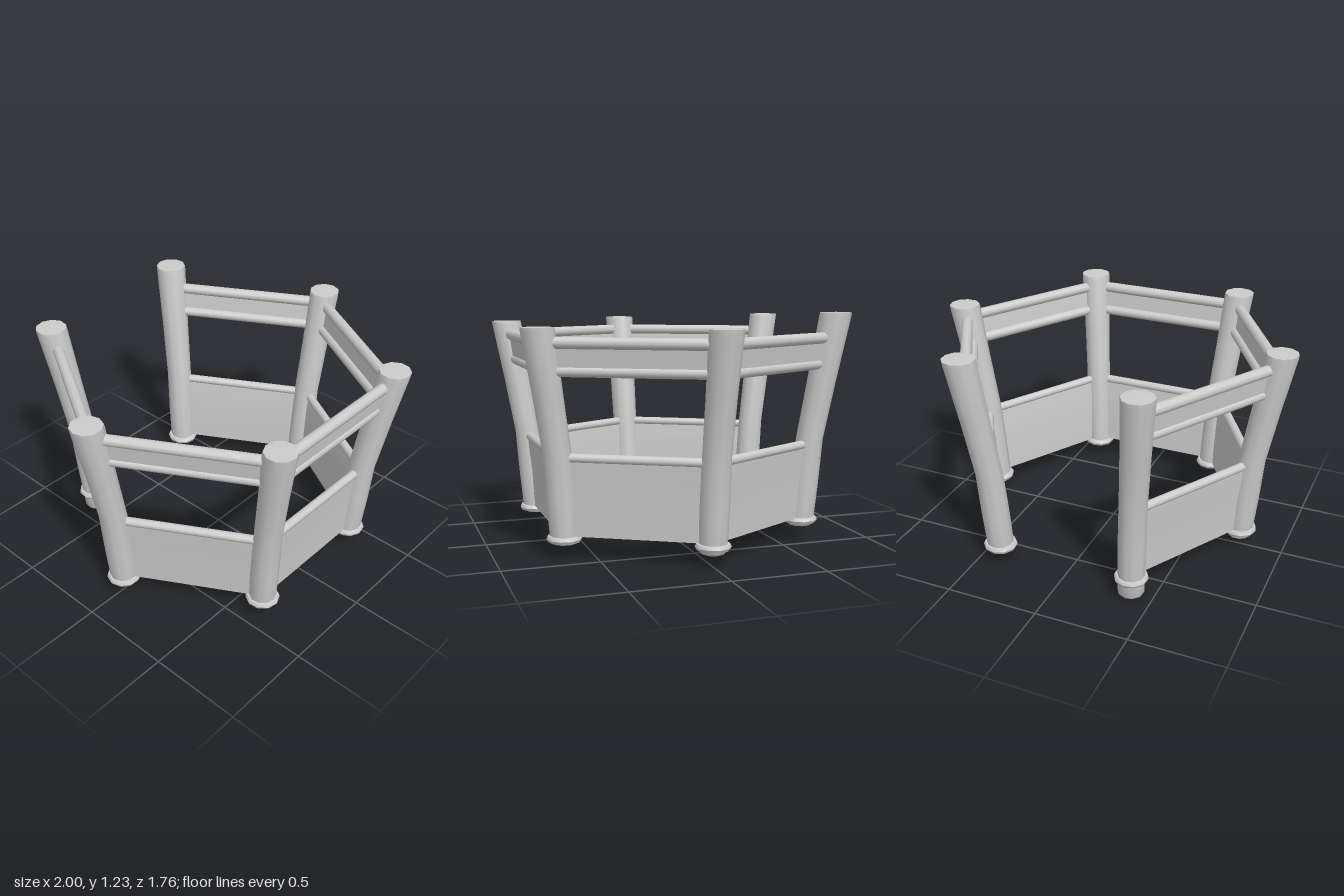
import * as THREE from 'three';
import { toCreasedNormals } from 'three/addons/utils/BufferGeometryUtils.js';

const material = new THREE.MeshStandardMaterial({ color: 0xcccccc });
const APOTHEM = Math.cos(Math.PI / 6);

// Distance of the post axis from the centre at height y: posts splay outward
const LEAN = [[0, 0.75], [0.12, 0.76], [0.55, 0.8], [0.85, 0.855], [1.24, 0.928]];
function lean(y) {
  let i = 0;
  while (i < LEAN.length - 2 && y > LEAN[i + 1][0]) i++;
  const [y0, r0] = LEAN[i], [y1, r1] = LEAN[i + 1];
  return r0 + (r1 - r0) * (y - y0) / (y1 - y0);
}

function add(parent, name, geometry) {
  const mesh = new THREE.Mesh(geometry, material);
  mesh.name = name;
  parent.add(mesh);
  return mesh;
}

// Turned shape whose rings follow the leaning post axis
function leaningLathe(profile) {
  const g = new THREE.LatheGeometry(profile.map(([r, y]) => new THREE.Vector2(r, y)), 10);
  const p = g.attributes.position;
  for (let i = 0; i < p.count; i++) p.setZ(i, p.getZ(i) + lean(p.getY(i)));
  return toCreasedNormals(g, 0.75);
}

// Group turned so that its local +z points outward at the given angle
function facing(name, degrees) {
  const group = new THREE.Group();
  group.name = name;
  group.rotation.y = THREE.MathUtils.degToRad(90 - degrees);
  return group;
}

function post(degrees, top, foot) {
  const group = facing('post', degrees);
  add(group, 'postShaft', leaningLathe([
    [0, foot], [0.06, foot], [0.07, foot + 0.012], [0.072, 0.12], [0.074, 0.3], [0.072, 0.55],
    [0.076, 0.85], [0.084, top - 0.02], [0.083, top - 0.003], [0, top],
  ]));
  add(group, 'footCollar', leaningLathe([
    [0.06, 0.088], [0.084, 0.09], [0.091, 0.105], [0.084, 0.12], [0.06, 0.124],
  ]));
  return group;
}

// Horizontal rod from post to post
function rail(group, name, y, radius) {
  const g = new THREE.CylinderGeometry(radius, radius, lean(y) - 0.02, 10);
  g.rotateZ(Math.PI / 2);
  add(group, name, g).position.set(0, y, lean(y) * APOTHEM);
}

// Thin board: cross-section of [distance outward, height] drawn along the side
function board(group, name, section, length) {
  const shape = new THREE.Shape(section.map(([z, y]) => new THREE.Vector2(-z, y)));
  const g = new THREE.ExtrudeGeometry(shape, { depth: length, bevelEnabled: false });
  g.rotateY(Math.PI / 2);
  g.translate(-length / 2, 0, 0);
  add(group, name, toCreasedNormals(g, 0.6));
}

function side(degrees) {
  const group = facing('side', degrees);
  rail(group, 'topRail', 1.095, 0.03);
  rail(group, 'middleRail', 0.957, 0.028);
  rail(group, 'lowerRail', 0.522, 0.024);
  board(group, 'upperPanel', [[0.755, 0.957], [0.773, 0.957], [0.79, 1.095], [0.772, 1.095]], 0.82);
  board(group, 'lowerPanel', [
    [0.65, 0.12], [0.675, 0.12], [0.68, 0.2], [0.686, 0.32], [0.698, 0.43], [0.705, 0.522],
    [0.68, 0.522], [0.668, 0.43], [0.66, 0.32], [0.653, 0.2],
  ], 0.74);
  return group;
}

export function createModel() {
  const model = new THREE.Group();
  model.name = 'hexagonalEnclosure';

  // Six posts: angle, top height, foot height
  const posts = [
    [0, 1.17, 0.07], [60, 1.172, 0.08], [120, 1.172, 0.08],
    [180, 1.176, 0.065], [240, 1.2, 0], [300, 1.23, 0.075],
  ];
  for (const p of posts) model.add(post(...p));

  // Five railed sides, with the back left open
  for (const degrees of [30, 90, 150, 210, 330]) model.add(side(degrees));

  return model;
}
